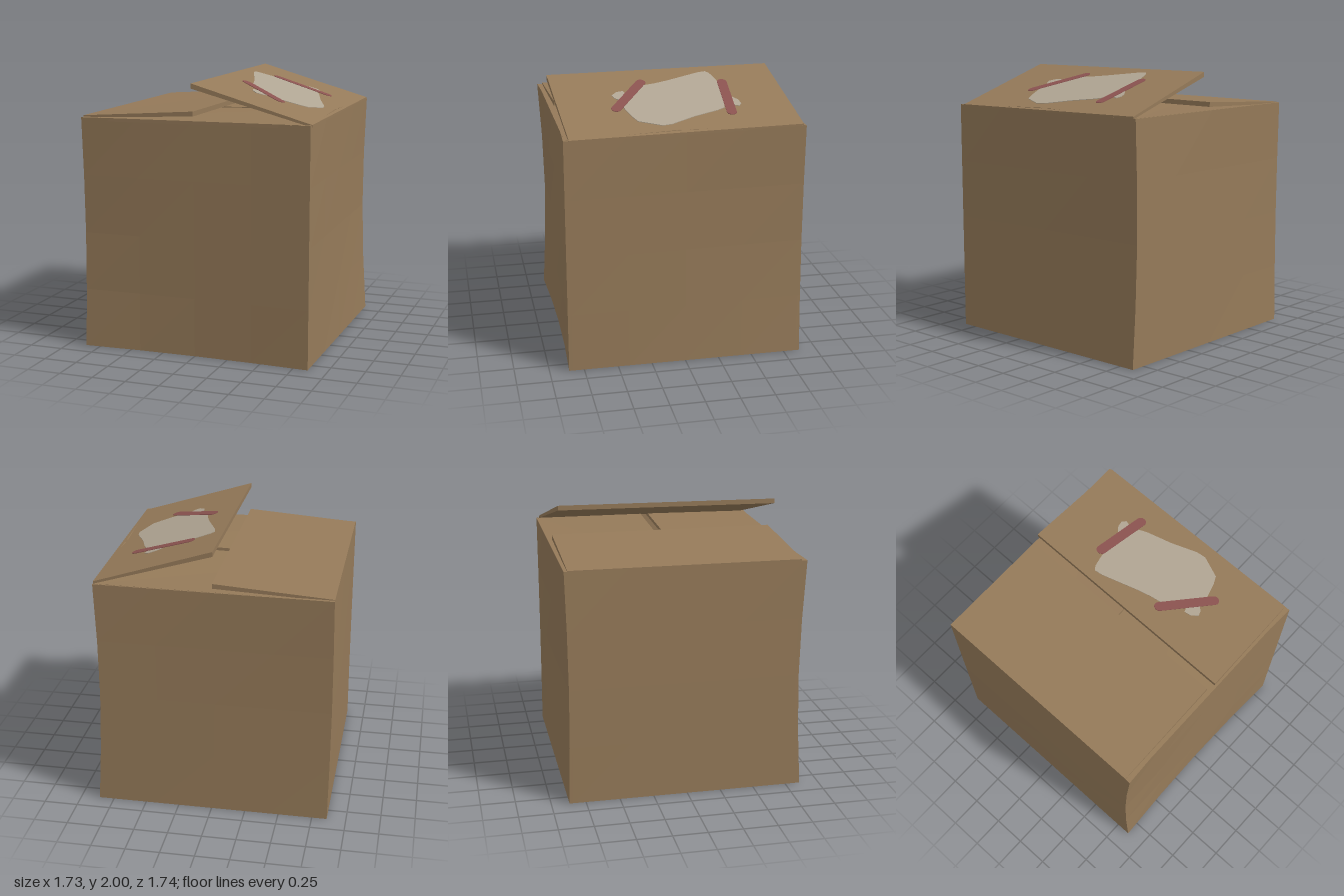
import * as THREE from 'three';

const W = 0.86, H = 1.715, T = 0.025;
const BACK = -0.87, FRONT = 0.86;

// height of the raised flap's upper face
const flapTop = (x, z) => 1.993 - 0.3 * x - 0.009 * z;

function faceted(geometry) {
  const g = geometry.toNonIndexed();
  g.computeVertexNormals();
  return g;
}

function reshape(geometry, rule) {
  const p = geometry.attributes.position;
  const v = new THREE.Vector3();
  for (let i = 0; i < p.count; i++) {
    v.fromBufferAttribute(p, i);
    rule(v);
    p.setXYZ(i, v.x, v.y, v.z);
  }
  return faceted(geometry);
}

// worn, slightly dented shape of the whole carton
function dent(v) {
  const tx = (v.x / W + 1) / 2;
  const tz = (v.z - BACK) / (FRONT - BACK);
  const up = v.y / H, h = Math.sin(Math.PI * up);
  const backLeft = tx * (1 - tz), frontRight = (1 - tx) * tz;
  v.x -= backLeft * (0.03 * h + 0.025 * up) + (1 - tx) * (1 - tz) * 0.008 * h;
  v.z -= frontRight * 0.035 * h + tz * 4 * tx * (1 - tx) * 0.025 * (1 - 0.7 * h);
  v.z += (1 - tx) * (1 - tz) * 0.015 * h;
  v.y *= 1 + 0.006 * tx + 0.006 * (1 - tz);
}

function panel(w, h, d, x, y, z) {
  const seg = (s) => (s > 0.1 ? 4 : 1);
  const g = new THREE.BoxGeometry(w, h, d, seg(w), seg(h), seg(d));
  return reshape(g.translate(x, y, z), dent);
}

// slab from the four top corners (-x-z, +x-z, -x+z, +x+z), thickness per side
function slab(corners, thickMinusX, thickPlusX) {
  const c = corners.map((p) => new THREE.Vector3(...p));
  return reshape(new THREE.BoxGeometry(1, 1, 1), (v) => {
    const u = v.x + 0.5, w = v.z + 0.5, below = 0.5 - v.y;
    const a = c[0].clone().lerp(c[1], u);
    v.copy(a.lerp(c[2].clone().lerp(c[3], u), w));
    v.y -= below * THREE.MathUtils.lerp(thickMinusX, thickPlusX, u);
  });
}

// thin plate lying on the raised flap, outlined by [x, z] points
function plate(points, lift) {
  const shape = new THREE.Shape(points.map(([x, z]) => new THREE.Vector2(x, -z)));
  const g = new THREE.ExtrudeGeometry(shape, { depth: 0.004, bevelEnabled: false });
  g.rotateX(-Math.PI / 2);
  return reshape(g, (v) => { v.y += flapTop(v.x, v.z) + lift; });
}

// round-ended strip outline between two [x, z] points
function strip([x0, z0], [x1, z1], r) {
  const angle = Math.atan2(z1 - z0, x1 - x0), pts = [];
  for (let i = 0; i <= 8; i++) {
    const a = angle - Math.PI / 2 + (i / 8) * Math.PI;
    pts.push([x1 + r * Math.cos(a), z1 + r * Math.sin(a)]);
  }
  for (let i = 0; i <= 8; i++) {
    const a = angle + Math.PI / 2 + (i / 8) * Math.PI;
    pts.push([x0 + r * Math.cos(a), z0 + r * Math.sin(a)]);
  }
  return pts;
}

export function createModel() {
  const group = new THREE.Group();
  group.name = 'cardboardBox';
  const paint = (name, color) => {
    const m = new THREE.MeshStandardMaterial({ color });
    m.name = name;
    return m;
  };
  const cardboard = paint('cardboard', 0x957a59);
  const pale = paint('palePaper', 0xb0a593);
  const red = paint('redTape', 0x8b5350);
  const add = (name, geometry, material) => {
    const m = new THREE.Mesh(geometry, material);
    m.name = name;
    group.add(m);
  };

  // walls and floor
  const midZ = (FRONT + BACK) / 2, depth = FRONT - BACK;
  add('frontWall', panel(2 * W, H, T, 0, H / 2, FRONT - T / 2), cardboard);
  add('backWall', panel(2 * W, H, T, 0, H / 2, BACK + T / 2), cardboard);
  for (const s of [-1, 1]) {
    add(s > 0 ? 'leftWall' : 'rightWall',
      panel(T, H, depth - 2 * T, s * (W - T / 2), H / 2, midZ), cardboard);
  }
  add('floor', panel(2 * (W - T), T, depth - 2 * T, 0, T / 2, midZ), cardboard);

  // inner flaps, meeting almost at the middle
  add('frontInnerFlap', slab([
    [-0.83, 1.705, 0.03], [0.82, 1.75, 0.03],
    [-0.85, 1.715, 0.85], [0.85, 1.727, 0.85]], 0.025, 0.025), cardboard);
  add('backInnerFlap', slab([
    [-0.85, 1.725, -0.86], [0.83, 1.737, -0.86],
    [-0.83, 1.705, -0.03], [0.82, 1.75, -0.03]], 0.025, 0.025), cardboard);

  // outer flaps: one nearly closed, one raised
  add('rightOuterFlap', slab([
    [-0.86, 1.73, -0.845], [-0.01, 1.787, -0.845],
    [-0.86, 1.725, 0.82], [-0.01, 1.785, 0.82]], 0.015, 0.035), cardboard);
  const top = (x, z) => [x, flapTop(x, z), z];
  add('leftOuterFlap', slab([
    top(-0.005, -0.795), top(0.835, -0.85),
    top(-0.005, 0.87), top(0.86, 0.82)], 0.036, 0.018), cardboard);

  // pale patch with two torn ends
  add('palePatch', plate([
    [0.07, -0.31], [0.1, -0.335], [0.2, -0.365], [0.3, -0.37], [0.57, -0.34], [0.6, -0.28],
    [0.66, -0.1], [0.74, 0.08], [0.75, 0.15], [0.68, 0.31], [0.62, 0.34], [0.5, 0.38],
    [0.4, 0.36], [0.22, 0.2], [0.2, 0.1], [0.17, 0], [0.08, -0.25]], 0), pale);
  add('backPatchEnd', plate([
    [0.43, -0.42], [0.48, -0.46], [0.53, -0.472], [0.56, -0.45], [0.55, -0.42], [0.5, -0.39]], 0), pale);
  add('frontPatchEnd', plate([
    [0.28, 0.35], [0.29, 0.4], [0.33, 0.44], [0.37, 0.425], [0.4, 0.39], [0.33, 0.33]], 0), pale);

  // tape strips
  add('backTape', plate(strip([0.235, -0.4], [0.635, -0.375], 0.036), 0.003), red);
  add('frontTape', plate(strip([0.18, 0.2], [0.51, 0.435], 0.036), 0.003), red);

  return group;
}
